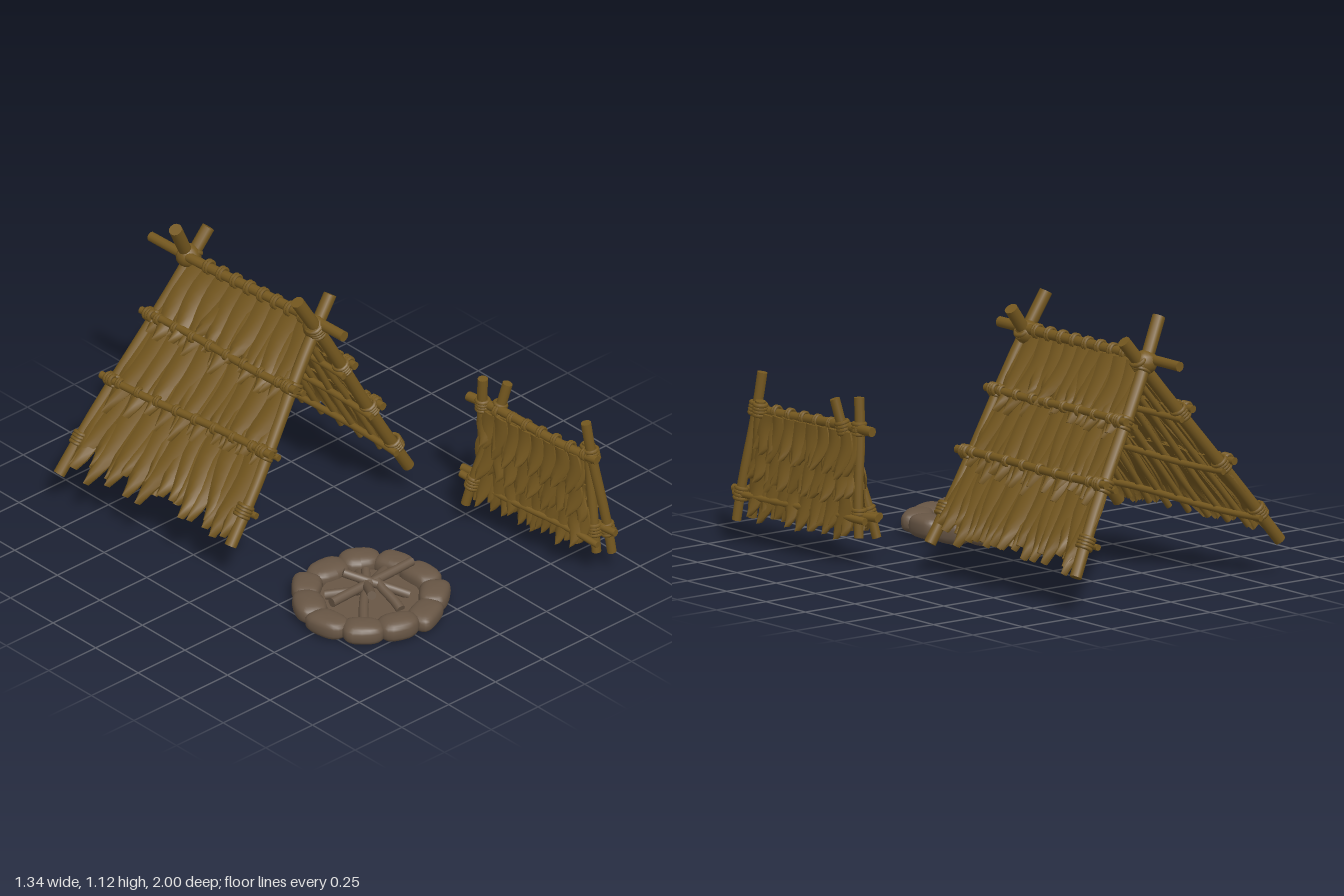
import * as THREE from 'three';
import { mergeGeometries } from 'three/addons/utils/BufferGeometryUtils.js';

const V = (x, y, z) => new THREE.Vector3(x, y, z);
const mat = (name, color) => {
  const m = new THREE.MeshStandardMaterial({ color });
  m.name = name;
  return m;
};

export function createModel() {
  const wood = mat('wood', 0x75581f), thatch = mat('thatch', 0x74571f);
  const stone = mat('stone', 0x685645);
  let seed = 7;
  const rnd = (a = -1, b = 1) => {
    seed = (seed * 16807) % 2147483647;
    return a + (b - a) * seed / 2147483647;
  };
  const root = new THREE.Group();
  const add = (parent, name, geos, material) => {
    const m = new THREE.Mesh(mergeGeometries(geos), material);
    m.name = name;
    parent.add(m);
  };
  const group = (name) => {
    const g = new THREE.Group();
    g.name = name;
    root.add(g);
    return g;
  };

  // Round stick from a to b, slightly tapered and crooked
  const stick = (a, b, r, bend = 0.006) => {
    const d = b.clone().sub(a), len = d.length();
    const g = new THREE.CylinderGeometry(r * 0.92, r, len, 12, 8);
    const p = g.attributes.position, ph = rnd(0, 6);
    for (let i = 0; i < p.count; i++) {
      const k = Math.sin((p.getY(i) / len + 0.5) * Math.PI * 2);
      p.setX(i, p.getX(i) + bend * k * Math.cos(ph));
      p.setZ(i, p.getZ(i) + bend * k * Math.sin(ph));
    }
    g.applyQuaternion(new THREE.Quaternion().setFromUnitVectors(V(0, 1, 0), d.normalize()));
    return g.translate(...a.clone().add(b).multiplyScalar(0.5).toArray());
  };

  // Rope turns wound around direction d at point c
  const lash = (c, d, r, turns = 3, t = 0.009) => {
    const u = d.clone().normalize();
    const q = new THREE.Quaternion().setFromUnitVectors(V(0, 0, 1), u);
    return Array.from({ length: turns }, (_, i) => {
      const o = c.clone().addScaledVector(u, (i - (turns - 1) / 2) * t * 1.5);
      return new THREE.TorusGeometry(r, t, 6, 14).applyQuaternion(q).translate(o.x, o.y, o.z);
    });
  };

  // Pointed curved leaf hanging from the origin along -y, outward is +z
  const leaf = (w, l, flare) => {
    const g = new THREE.BoxGeometry(w, l, 0.008, 4, 8, 1);
    const p = g.attributes.position, sway = rnd() * w * 0.2, notch = rnd(0.8, 1.15);
    for (let i = 0; i < p.count; i++) {
      const t = 0.5 - p.getY(i) / l, s = p.getX(i) / w * 2;
      const width = t < 0.55 ? 0.85 + 0.27 * t : Math.max(0.08, 1 - 4.4 * notch * (t - 0.55) ** 2);
      p.setXYZ(i,
        s * w / 2 * width + sway * Math.sin(t * 5),
        -t * l,
        p.getZ(i) + flare * t * t + w * 0.16 * (1 - s * s) * (0.4 + t));
    }
    g.computeVertexNormals();
    return g;
  };

  // Point on the sheet between a front edge and a back edge
  const sheet = (c) => {
    const at = (u, v) => c.tf.clone().lerp(c.bf, v).lerp(c.tb.clone().lerp(c.bb, v), u);
    const up = at(0.5, 0).sub(at(0.5, 1)).normalize();
    const out = V(0, 0, -c.side).cross(up).normalize();
    return { up, out, at: (u, v, o = 0) => at(u, v).addScaledVector(out, o) };
  };

  // Overlapping rows of leaves, upper rows lying over lower ones
  const thatchRows = (s, rows, count, w, flare, base) => {
    const geos = [];
    rows.forEach(([v0, v1]) => {
      for (let layer = 0; layer < 2; layer++) {
        const n = count + layer;
        for (let i = 0; i < n; i++) {
          const u = layer ? 0.05 + 0.9 * i / (n - 1) : 0.03 + 0.94 * (i + 0.5) / n;
          const a = s.at(u, v0, base + 0.01 * (1 - layer));
          const b = s.at(u + rnd() * 0.015, v1 + rnd(-0.06, 0.03) - layer * 0.03, base);
          const y = a.clone().sub(b), l = y.length();
          y.normalize();
          const x = y.clone().cross(s.out).normalize(), z = x.clone().cross(y);
          const g = leaf(w * rnd(0.9, 1.1), l, flare * rnd(0.4, 1.3) * (layer ? 0.6 : 1));
          geos.push(g.applyMatrix4(new THREE.Matrix4().makeBasis(x, y, z).setPosition(a)));
        }
      }
    });
    return geos;
  };

  // Shelter: ridge pole and two crossed pole pairs
  const shelter = group('shelter');
  const ridge = [V(0.01, 0.955, 0.075), V(-0.045, 0.945, -1)];
  add(shelter, 'ridgePole', [stick(...ridge, 0.022)], wood);
  const poles = {
    '-1': [[V(0.085, 1.045, -0.09), V(-0.53, 0.17, 0)], [V(0.08, 1.03, -0.8), V(-0.645, 0.145, -0.88)]],
    '1': [[V(-0.1, 1.09, -0.08), V(0.435, 0.13, -0.015)], [V(-0.11, 1.105, -0.785), V(0.43, 0.145, -0.935)]],
  };
  const knots = [];
  for (const side of [-1, 1]) {
    const [f, b] = poles[side], name = side > 0 ? 'left' : 'right';
    const cut = ([t, e]) => t.clone().lerp(e, (t.y - 0.93) / (t.y - e.y));
    const s = sheet({ side, tf: cut(f), bf: f[1], tb: cut(b), bb: b[1] });
    add(shelter, name + 'RafterPoles', [stick(...f, 0.027), stick(...b, 0.027)], wood);
    add(shelter, name + 'RoofThatch',
      thatchRows(s, [[0, 0.36], [0.24, 0.68], [0.53, 0.98]], 9, 0.11, 0.025, -0.003), thatch);

    // Outer purlins with rope turns, and the inner lattice
    const rails = [];
    for (const v of [0.28, 0.575]) {
      const p0 = s.at(-0.06, v, 0.034), p1 = s.at(1.06, v, 0.034), d = p1.clone().sub(p0);
      rails.push(stick(p0, p1, 0.017));
      for (let i = 1; i < 9; i++) knots.push(...lash(p0.clone().lerp(p1, i / 9), d, 0.018, 2, 0.007));
    }
    for (const v of [0.28, 0.575, 0.84]) rails.push(stick(s.at(-0.05, v, -0.028), s.at(1.05, v, -0.028), 0.014));
    for (let i = 1; i < 8; i++) rails.push(stick(s.at(i / 8, 0.02, -0.014), s.at(i / 8, 0.93, -0.014), 0.014));
    add(shelter, name + 'RoofLattice', rails, wood);
    for (const u of [0, 1]) {
      for (const v of [0.28, 0.575, 0.84]) {
        knots.push(...lash(s.at(u, v, 0.004), s.up, 0.029, 4, 0.009));
        if (v < 0.8) knots.push(...lash(s.at(u, v, 0.034), V(0, 0, 1), 0.019, 3, 0.009));
      }
      knots.push(...lash(s.at(u, 0, 0), s.up, 0.031, 4, 0.01));
    }
  }
  for (let i = 0; i < 10; i++) {
    const p = ridge[0].clone().lerp(ridge[1], 0.14 + 0.07 * i + (i > 8 ? 0.06 : 0));
    knots.push(...lash(p, V(0.05, 0, 1), 0.024, 2, 0.008));
  }
  for (const [x, z] of [[-0.005, -0.08], [-0.02, -0.81]]) {
    knots.push(new THREE.SphereGeometry(0.05, 14, 10).translate(x, 0.935, z));
  }
  add(shelter, 'shelterLashings', knots, wood);

  // Small thatched wind screen
  const screen = group('windScreen');
  const posts = [
    [V(0.57, 0.69, 0.88), V(0.645, 0.09, 0.95)], [V(0.595, 0.58, 0.86), V(0.59, 0.1, 0.92)],
    [V(0.51, 0.67, 0.34), V(0.535, 0.11, 0.31)], [V(0.57, 0.66, 0.42), V(0.445, 0.1, 0.31)],
  ];
  add(screen, 'screenPosts', posts.map(([a, b]) => stick(a, b, 0.021, 0.004)), wood);
  add(screen, 'screenRails', [
    stick(V(0.515, 0.545, 0.25), V(0.575, 0.54, 0.94), 0.02),
    stick(V(0.51, 0.2, 0.22), V(0.62, 0.21, 1), 0.017),
    stick(V(0.475, 0.2, 0.25), V(0.55, 0.17, 0.97), 0.015),
    stick(V(0.56, 0.19, 0.24), V(0.64, 0.2, 0.97), 0.015),
  ], wood);
  for (const side of [-1, 1]) {
    const s = sheet({
      side,
      tf: V(0.575 + 0.01 * side, 0.53, 0.87), tb: V(0.525 + 0.01 * side, 0.53, 0.33),
      bf: V(0.6 + 0.025 * side, 0.11, 0.9), bb: V(0.52 + 0.032 * side, 0.11, 0.32),
    });
    add(screen, side > 0 ? 'leftScreenThatch' : 'rightScreenThatch',
      thatchRows(s, [[0, 0.42], [0.3, 0.7], [0.55, 1]], 8, 0.08, 0.036, 0.002), thatch);
  }
  const ties = [];
  for (const [a, b] of posts) {
    const d = b.clone().sub(a);
    for (const y of [0.545, 0.2]) ties.push(...lash(a.clone().lerp(b, (a.y - y) / (a.y - b.y)), d, 0.024, 4, 0.009));
  }
  for (let i = 0; i < 8; i++) ties.push(...lash(V(0.52 + 0.007 * i, 0.543, 0.33 + 0.078 * i), V(0.08, 0, 1), 0.021, 2, 0.007));
  add(screen, 'screenLashings', ties, wood);

  // Fire pit: ring of lumpy rounded stones on a bed
  const pit = group('firePit');
  pit.position.set(-0.24, 0, 0.5);
  const stones = [], count = 11;
  for (let i = 0; i < count; i++) {
    const g = new THREE.SphereGeometry(1, 20, 14), p = g.attributes.position;
    const soft = (v, e) => Math.sign(v) * Math.abs(v) ** e;
    const a1 = rnd(0, 6), a2 = rnd(0, 6), tall = rnd(0.042, 0.048), long = rnd(0.08, 0.092);
    for (let j = 0; j < p.count; j++) {
      const x = p.getX(j), y = p.getY(j), z = p.getZ(j);
      const k = 1 + 0.1 * Math.sin(2.5 * x + a1) * Math.cos(2.5 * z + a2);
      p.setXYZ(j, soft(x, 0.75) * 0.063 * k, soft(y, 0.72) * tall + tall, soft(z, 0.7) * long * k);
    }
    g.computeVertexNormals();
    const r = 0.25 + rnd() * 0.01;
    stones.push(g.rotateY(rnd() * 0.12).translate(r, 0, 0).rotateY((i + 0.75) / count * Math.PI * 2));
  }
  add(pit, 'stoneRing', stones, stone);
  add(pit, 'ashBed', [new THREE.CylinderGeometry(0.2, 0.22, 0.03, 24).translate(0, 0.03, 0)], stone);

  // Crossed firewood
  const logs = [
    [-0.19, 0.09, -0.015, 0.23, 0.11, -0.005], [0.07, 0.06, -0.14, -0.08, 0.13, 0.1],
    [-0.15, 0.05, 0.13, 0.06, 0.1, -0.09], [0.12, 0.05, 0.1, -0.06, 0.14, -0.09],
    [-0.14, 0.06, -0.11, -0.02, 0.08, -0.01], [0.02, 0.05, 0.16, 0.04, 0.1, 0.0],
    [0.17, 0.05, -0.1, 0.04, 0.08, -0.03],
  ];
  add(pit, 'firewood', logs.map((l) => stick(V(...l.slice(0, 3)), V(...l.slice(3)), 0.02, 0.003)), stone);
  return root;
}
